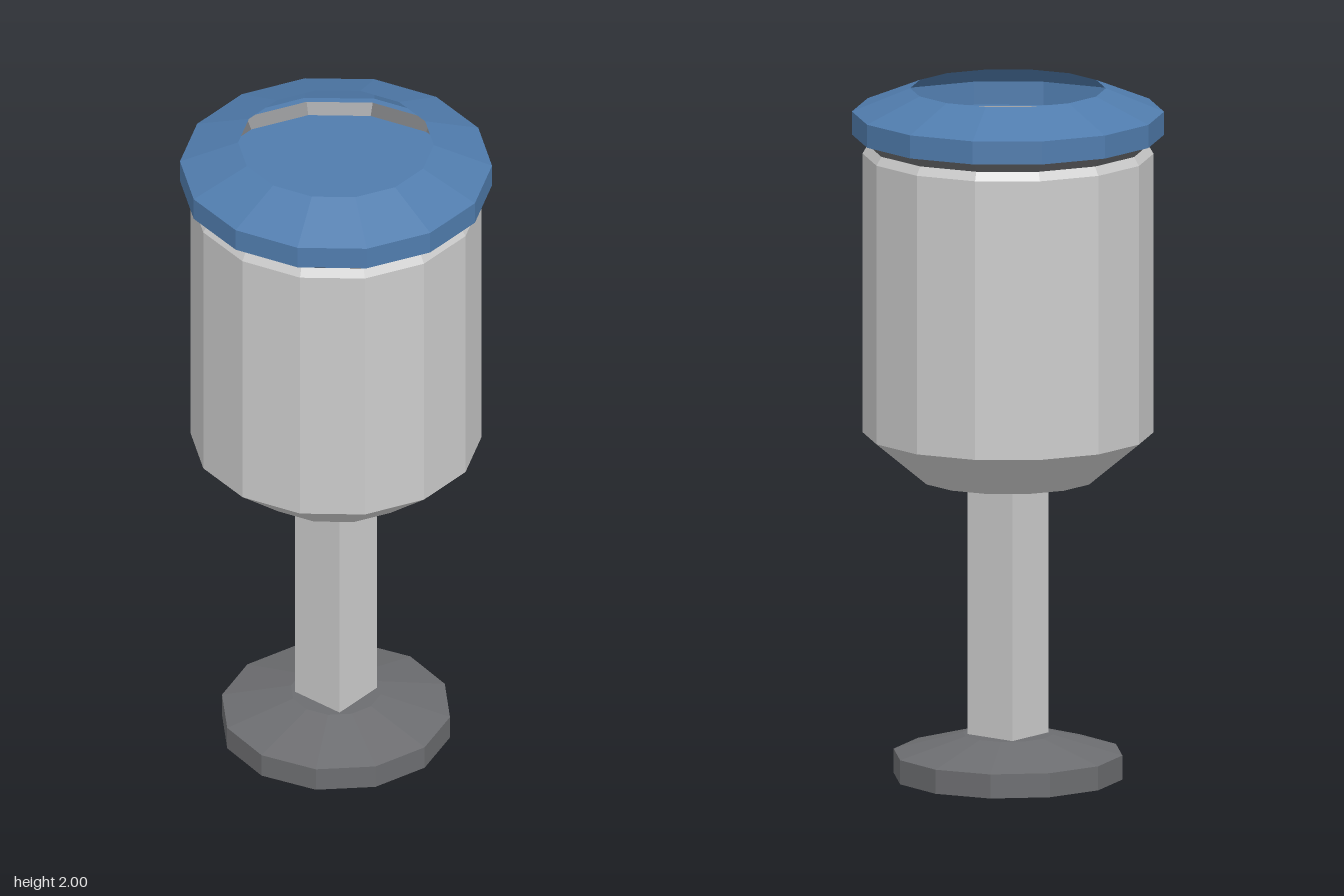
import * as THREE from 'three';

const material = (color, side = THREE.FrontSide) =>
  new THREE.MeshStandardMaterial({ color, side, flatShading: true });

// Faceted solid of revolution with a corner on the x axis; profile runs bottom to top
function turned(name, profile, sides, mat) {
  const points = profile.map(([r, y]) => new THREE.Vector2(r, y));
  const geometry = new THREE.LatheGeometry(points, sides);
  geometry.rotateY(Math.PI / 2);
  const mesh = new THREE.Mesh(geometry, mat);
  mesh.name = name;
  return mesh;
}

export function createModel() {
  const group = new THREE.Group();
  group.name = 'litterBin';

  const grey = material(0xcccccc);
  const dark = material(0x6c6d70);
  const darkOpen = material(0x6c6d70, THREE.DoubleSide);
  const blue = material(0x507cad);
  const blueOpen = material(0x507cad, THREE.DoubleSide);

  // Foot plate with a sloped top
  group.add(turned('base', [[0, 0], [0.33, 0], [0.33, 0.07], [0.13, 0.125], [0, 0.125]], 12, dark));

  // Square post
  const post = new THREE.Mesh(new THREE.BoxGeometry(0.165, 0.76, 0.165), grey);
  post.name = 'post';
  post.position.y = 0.49;
  group.add(post);

  // Container with tapered bottom and chamfered top edge
  group.add(turned('container',
    [[0, 0.87], [0.257, 0.87], [0.415, 1.0], [0.415, 1.81], [0.4, 1.835]], 14, grey));

  // Panel closing the container, seen through the lid opening
  group.add(turned('innerPanel', [[0.4, 1.835], [0, 1.835]], 14, blue));

  // Flared neck below the lid
  group.add(turned('neck', [[0.4, 1.835], [0.424, 1.865]], 14, darkOpen));

  // Hollow lid with a round opening on top
  group.add(turned('lid',
    [[0.424, 1.865], [0.445, 1.865], [0.445, 1.932], [0.279, 2.0]], 14, blueOpen));

  return group;
}
